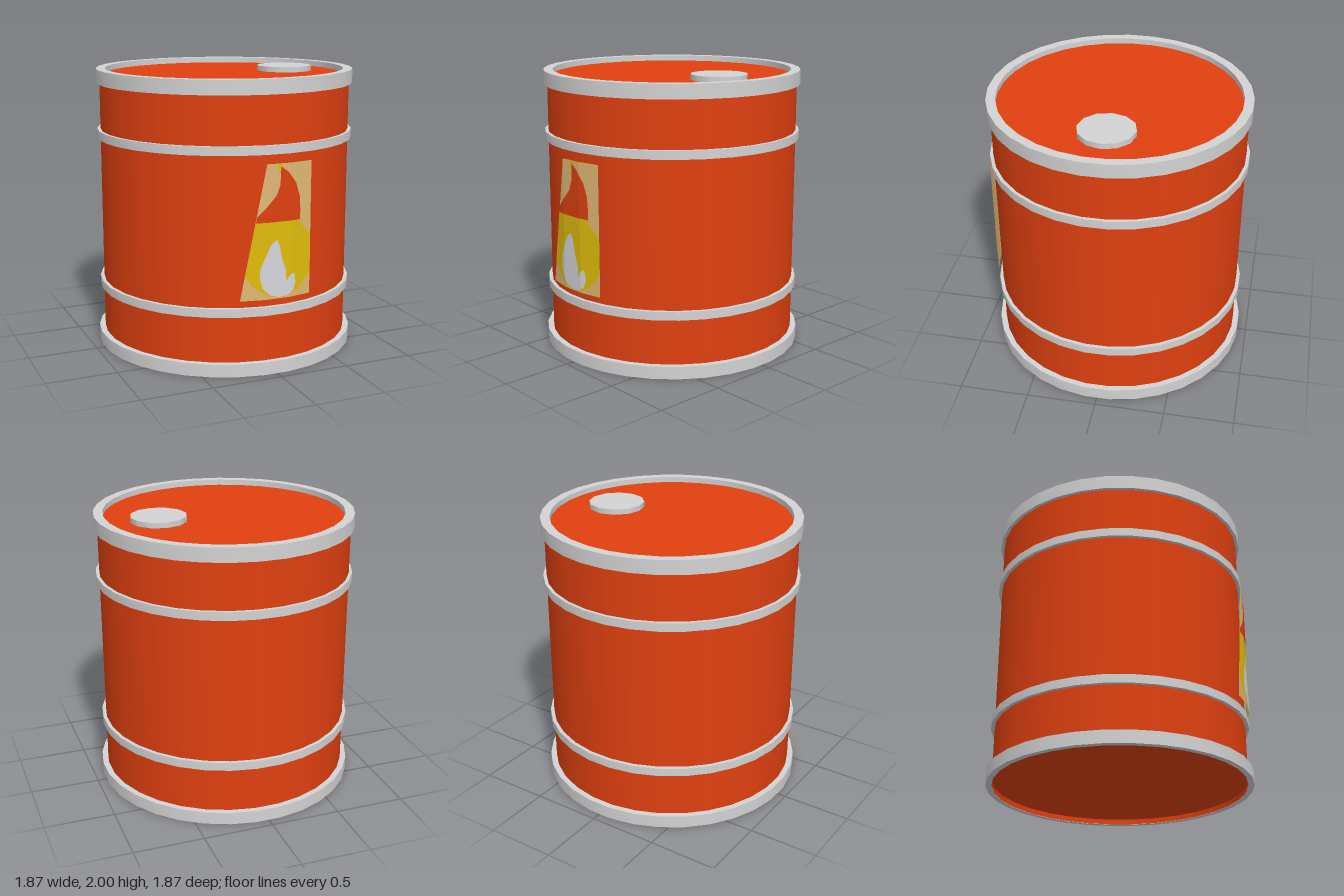
import * as THREE from 'three';
import { mergeGeometries, toCreasedNormals } from 'three/addons/utils/BufferGeometryUtils.js';

const SIDES = 32;
const HALF = Math.PI / SIDES; // turns a flat facet to the front
const BODY_R = 0.895;

function material(name, color, side = THREE.FrontSide) {
  const m = new THREE.MeshStandardMaterial({ color, side });
  m.name = name;
  return m;
}

function addMesh(group, name, geometry, mat) {
  const mesh = new THREE.Mesh(geometry, mat);
  mesh.name = name;
  group.add(mesh);
  return mesh;
}

// Hoop with a rectangular section
function hoop(inner, outer, y0, y1) {
  const profile = [[outer, y0], [outer, y1], [inner, y1], [inner, y0], [outer, y0]]
    .map(([r, y]) => new THREE.Vector2(r, y));
  return toCreasedNormals(new THREE.LatheGeometry(profile, SIDES, HALF), 0.6);
}

function disc(radius, y, up) {
  const g = new THREE.CircleGeometry(radius, SIDES, HALF);
  g.rotateX(up ? -Math.PI / 2 : Math.PI / 2);
  return g.translate(0, y, 0);
}

// Keep the part of a polygon where sign * (x - edge) >= 0
function clip(points, edge, sign) {
  const out = [];
  points.forEach((a, i) => {
    const b = points[(i + 1) % points.length];
    const da = sign * (a[0] - edge), db = sign * (b[0] - edge);
    if (da >= 0) out.push(a);
    if (da * db < 0) out.push([edge, a[1] + (b[1] - a[1]) * da / (da - db)]);
  });
  return out;
}

// Flat outline bent over the three front facets of the barrel
function labelSheet(outline, lift) {
  const corners = [-3, -1, 1, 3].map(k => [BODY_R * Math.sin(k * HALF), BODY_R * Math.cos(k * HALF)]);
  const pieces = [];
  for (let i = 0; i < 3; i++) {
    const [x0, z0] = corners[i], [x1, z1] = corners[i + 1];
    const part = clip(clip(outline, x0, 1), x1, -1);
    if (part.length < 3) continue;
    const g = new THREE.ShapeGeometry(new THREE.Shape(part.map(p => new THREE.Vector2(...p))));
    const pos = g.attributes.position;
    for (let v = 0; v < pos.count; v++) {
      const t = (pos.getX(v) - x0) / (x1 - x0);
      pos.setZ(v, z0 + (z1 - z0) * t + lift);
    }
    g.computeVertexNormals();
    pieces.push(g);
  }
  return mergeGeometries(pieces);
}

export function createModel() {
  const model = new THREE.Group();
  model.name = 'barrel';
  const paint = material('orange paint', 0xe04010, THREE.DoubleSide);
  const steel = material('grey steel', 0xd3d3d3);
  const tan = material('label tan', 0xe0b874, THREE.DoubleSide);
  const yellow = material('flame yellow', 0xe0bc0c, THREE.DoubleSide);
  const red = material('flame red', 0xe04010, THREE.DoubleSide);
  const white = material('flame white', 0xd6d6dc, THREE.DoubleSide);

  // Drum
  const wall = new THREE.CylinderGeometry(BODY_R, BODY_R, 1.958, SIDES, 1, true, HALF);
  addMesh(model, 'drumWall', wall.translate(0, 0.981, 0), paint);
  addMesh(model, 'lid', disc(0.87, 1.96, true), paint);
  addMesh(model, 'drumFloor', disc(BODY_R, 0.04, false), paint);

  // Rims and bands
  addMesh(model, 'topRim', hoop(0.853, 0.919, 1.9, 2), steel);
  addMesh(model, 'upperBand', hoop(0.89, 0.919, 1.51, 1.57), steel);
  addMesh(model, 'lowerBand', hoop(0.89, 0.921, 0.415, 0.475), steel);
  addMesh(model, 'bottomRim', hoop(0.896, 0.938, 0, 0.09), steel);

  // Filler cap
  const cap = addMesh(model, 'fillerCap', new THREE.CylinderGeometry(0.2, 0.2, 0.04, 12), steel);
  cap.position.set(0.48, 1.978, 0);

  // Flame label
  const label = new THREE.Group();
  label.name = 'flameLabel';
  model.add(label);
  addMesh(label, 'labelBacking', labelSheet(
    [[-0.26, 0.53], [0.255, 0.53], [0.255, 1.45], [-0.085, 1.45]], 0.032), tan);
  addMesh(label, 'yellowFlame', labelSheet(
    [[-0.159, 1.06], [-0.228, 0.7], [-0.17, 0.62], [-0.08, 0.56], [0, 0.535], [0.06, 0.54],
      [0.15, 0.575], [0.22, 0.64], [0.255, 0.7], [0.255, 0.92], [0.235, 0.97], [0.18, 1.02],
      [0.165, 1.06]], 0.034), yellow);
  addMesh(label, 'yellowTip', labelSheet(
    [[-0.005, 1.45], [0, 1.39], [0.02, 1.38], [0.035, 1.44]], 0.034), yellow);
  addMesh(label, 'redFlame', labelSheet(
    [[-0.159, 1.06], [-0.15, 1.1], [-0.08, 1.17], [-0.015, 1.24], [0.01, 1.31], [0.015, 1.43],
      [0.07, 1.39], [0.13, 1.31], [0.16, 1.22], [0.167, 1.12], [0.165, 1.06]], 0.036), red);
  addMesh(label, 'whiteFlame', labelSheet(
    [[-0.01, 0.94], [-0.05, 0.91], [-0.09, 0.83], [-0.125, 0.75], [-0.13, 0.68], [-0.11, 0.61],
      [-0.06, 0.56], [0, 0.54], [0.07, 0.545], [0.12, 0.58], [0.135, 0.63], [0.13, 0.68],
      [0.115, 0.7], [0.085, 0.68], [0.062, 0.64], [0.06, 0.72], [0.03, 0.8], [0.01, 0.9]], 0.036), white);

  return model;
}
